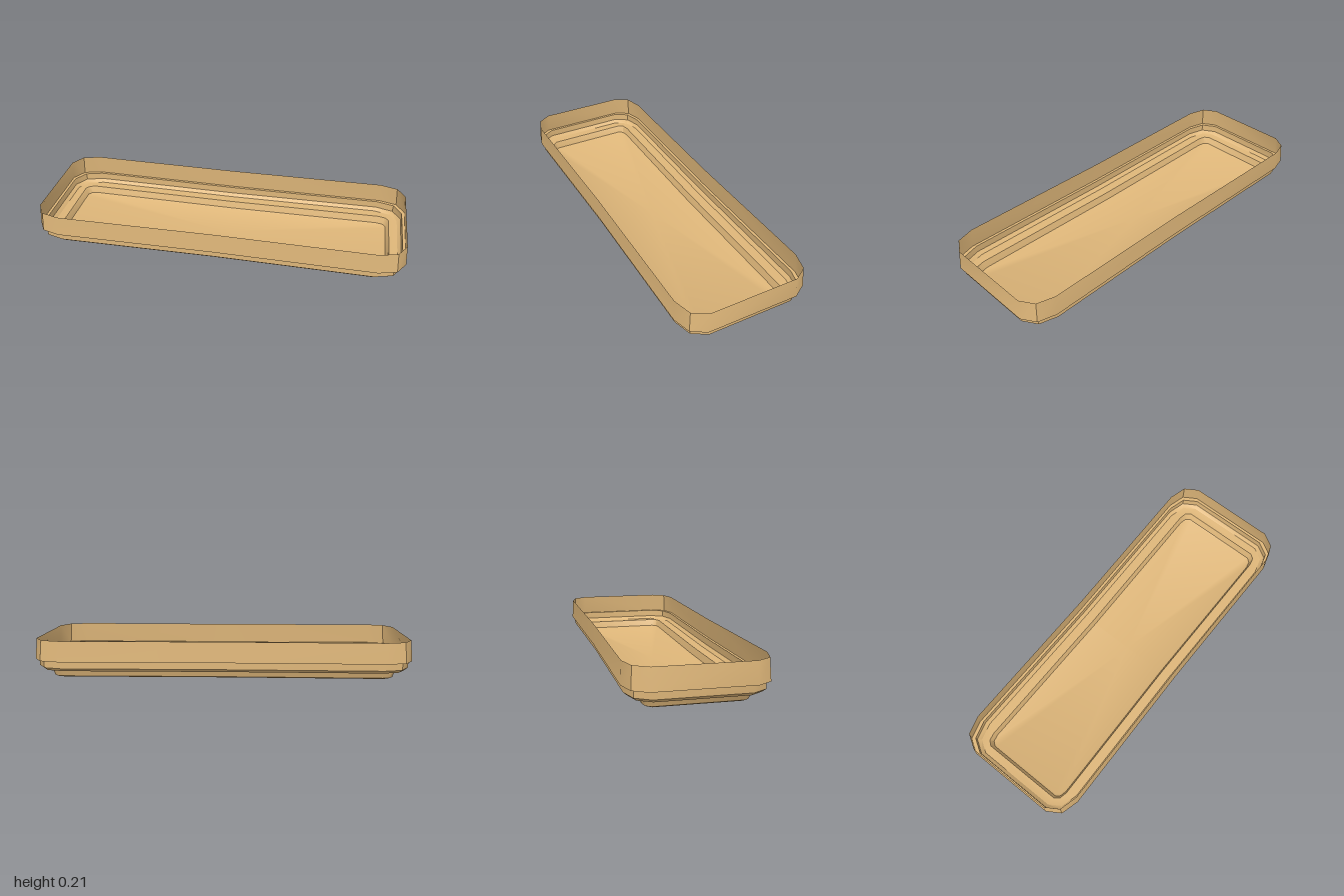
import * as THREE from 'three';
import { toCreasedNormals } from 'three/addons/utils/BufferGeometryUtils.js';

const material = new THREE.MeshStandardMaterial({ color: 0xdeb679, side: THREE.DoubleSide });

// Closed outline with clipped corners and slightly waisted long sides.
// x, z: half sizes; cx, cz: corner cut along each axis
function ring({ y, x, z, cx, cz }) {
  const quarter = [
    [x, z - cz], [x - cx * 0.32, z - cz * 0.27], [x - cx, z],
  ];
  const mirror = (sx, sz) => quarter.map(([a, b]) => [a * sx, b * sz]);
  const waist = z - 0.009;
  return [
    ...mirror(1, 1), [0, waist], ...mirror(-1, 1).reverse(),
    ...mirror(-1, -1), [0, -waist], ...mirror(1, -1).reverse(),
  ].map(([a, b]) => [a, y, b]);
}

// Joins rings listed from bottom to top; optionally closes the lowest one
function shell(name, sections, closeBottom = false) {
  const rings = sections.map(ring);
  const n = rings[0].length;
  const points = rings.flat();
  const index = [];
  for (let r = 0; r < rings.length - 1; r++) {
    for (let i = 0; i < n; i++) {
      const a = r * n + i, b = r * n + (i + 1) % n;
      index.push(a, a + n, b, b, a + n, b + n);
    }
  }
  if (closeBottom) {
    points.push([0, sections[0].y, 0]);
    for (let i = 0; i < n; i++) index.push(points.length - 1, i, (i + 1) % n);
  }
  const geometry = new THREE.BufferGeometry();
  geometry.setAttribute('position', new THREE.Float32BufferAttribute(points.flat(), 3));
  geometry.setIndex(index);
  const mesh = new THREE.Mesh(toCreasedNormals(geometry, 0.65), material);
  mesh.name = name;
  return mesh;
}

export function createModel() {
  const group = new THREE.Group();
  group.name = 'tray';

  // Profile sections shared by neighbouring parts
  const baseTop = { y: 0.044, x: 0.92, z: 0.26, cx: 0.06, cz: 0.035 };
  const ledgeTop = { y: 0.099, x: 0.985, z: 0.33, cx: 0.14, cz: 0.1 };

  // Recessed foot with the flat floor
  group.add(shell('base', [
    { y: 0, x: 0.895, z: 0.238, cx: 0.055, cz: 0.03 },
    { y: 0.006, x: 0.905, z: 0.248, cx: 0.055, cz: 0.03 },
    { y: 0.035, x: 0.916, z: 0.257, cx: 0.06, cz: 0.035 },
    baseTop,
  ], true));

  // Stepped ledge with a bevelled lower edge
  group.add(shell('ledge', [
    baseTop,
    { y: 0.045, x: 0.965, z: 0.312, cx: 0.13, cz: 0.09 },
    { y: 0.061, x: 0.983, z: 0.33, cx: 0.14, cz: 0.1 },
    ledgeTop,
  ]));

  // Tall upper wall, leaning in slightly towards the open rim
  group.add(shell('rim', [
    ledgeTop,
    { y: 0.099, x: 1, z: 0.345, cx: 0.14, cz: 0.1 },
    { y: 0.209, x: 0.992, z: 0.339, cx: 0.14, cz: 0.1 },
  ]));

  return group;
}
